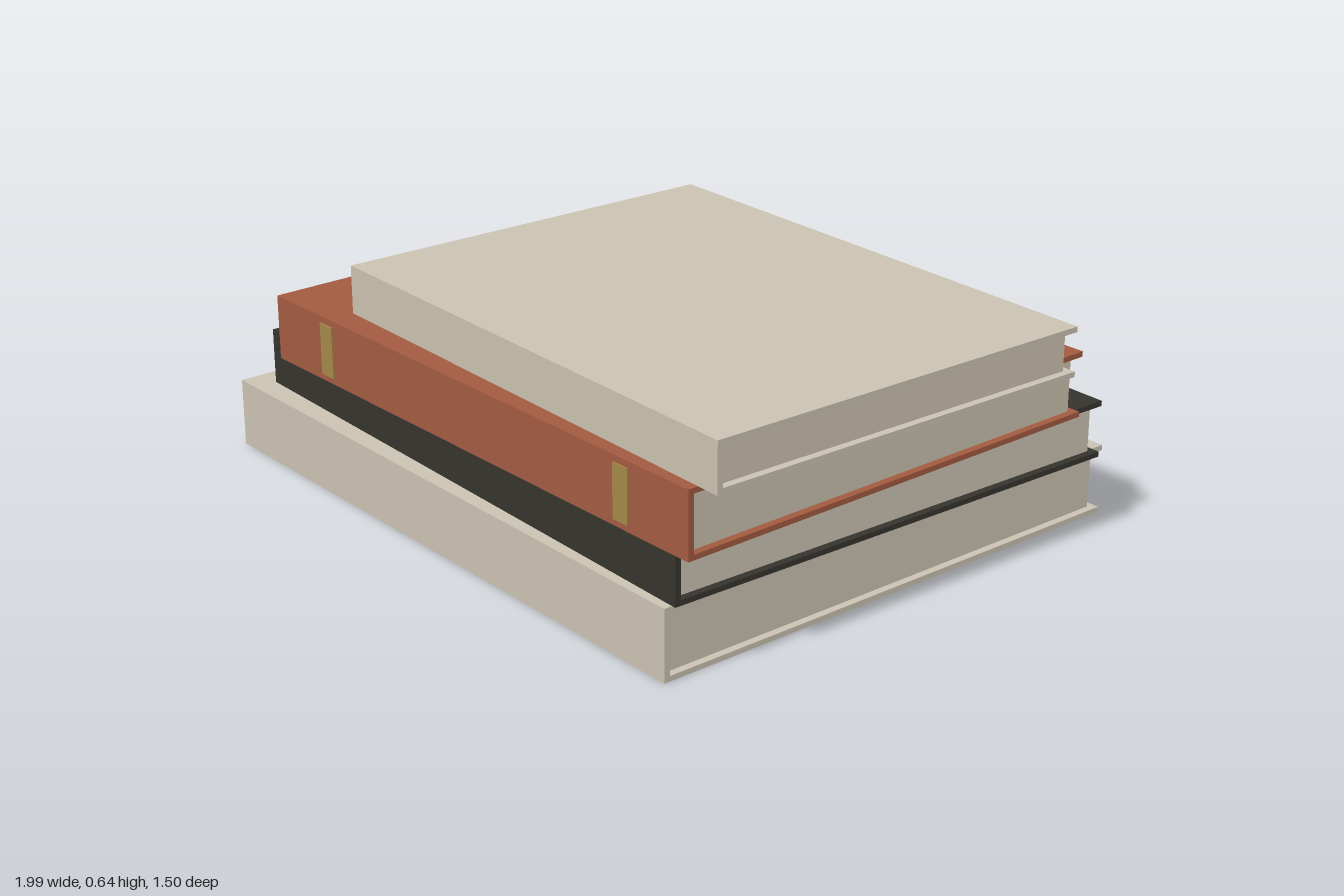
import * as THREE from 'three';

const material = (name, color) => {
  const m = new THREE.MeshStandardMaterial({ color });
  m.name = name;
  return m;
};

function addBox(parent, name, mat, size, pos) {
  const mesh = new THREE.Mesh(new THREE.BoxGeometry(...size), mat);
  mesh.name = name;
  mesh.position.set(...pos);
  parent.add(mesh);
}

const BOARD = 0.014; // cover thickness
const SPINE = 0.016; // spine thickness
const INSET = 0.02;  // how far the covers overhang the pages

// One closed book, resting on y = 0 with its spine towards +z
function makeBook(name, { w, h, d, cover, pages }) {
  const book = new THREE.Group();
  book.name = name;
  const boardDepth = d - SPINE;
  const boardZ = -SPINE / 2;
  addBox(book, 'bottomCover', cover, [w, BOARD, boardDepth], [0, BOARD / 2, boardZ]);
  addBox(book, 'topCover', cover, [w, BOARD, boardDepth], [0, h - BOARD / 2, boardZ]);
  addBox(book, 'spine', cover, [w, h, SPINE], [0, h / 2, d / 2 - SPINE / 2]);
  addBox(book, 'pages', pages,
    [w - 2 * INSET, h - 2 * BOARD, boardDepth - INSET],
    [0, h / 2, boardZ + INSET / 2]);
  return book;
}

export function createModel() {
  const cream = material('creamCover', 0xcbc2b1);
  const black = material('charcoalCover', 0x36342e);
  const rust = material('rustCover', 0xa35b41);
  const paper = material('paper', 0xccc3b1);
  const gold = material('goldBand', 0xa48848);

  const stack = new THREE.Group();
  stack.name = 'bookStack';

  // Books from the bottom up, each slightly turned
  const books = [
    { name: 'bottomBook', w: 1.81, h: 0.188, d: 1.46, x: -0.09, z: -0.018, turn: 0.006, cover: cream },
    { name: 'charcoalBook', w: 1.75, h: 0.153, d: 1.373, x: -0.032, z: -0.018, turn: -0.018, cover: black },
    { name: 'rustBook', w: 1.635, h: 0.174, d: 1.282, x: 0.085, z: 0.092, turn: 0.0195, cover: rust },
    { name: 'topBook', w: 1.46, h: 0.129, d: 1.11, x: 0.257, z: 0.125, turn: -0.0135, cover: cream },
  ];

  let y = 0;
  for (const b of books) {
    const book = makeBook(b.name, { ...b, pages: paper });
    book.position.set(b.x, y, b.z);
    book.rotation.y = b.turn;
    stack.add(book);
    y += b.h;

    // Thin gold bands across the rust spine
    if (b.cover === rust) {
      for (const side of [-1, 1]) {
        addBox(book, side < 0 ? 'rightSpineBand' : 'leftSpineBand', gold,
          [0.052, b.h * 0.8, 0.004], [side * 0.588, b.h / 2, b.d / 2 + 0.002]);
      }
    }
  }
  return stack;
}
